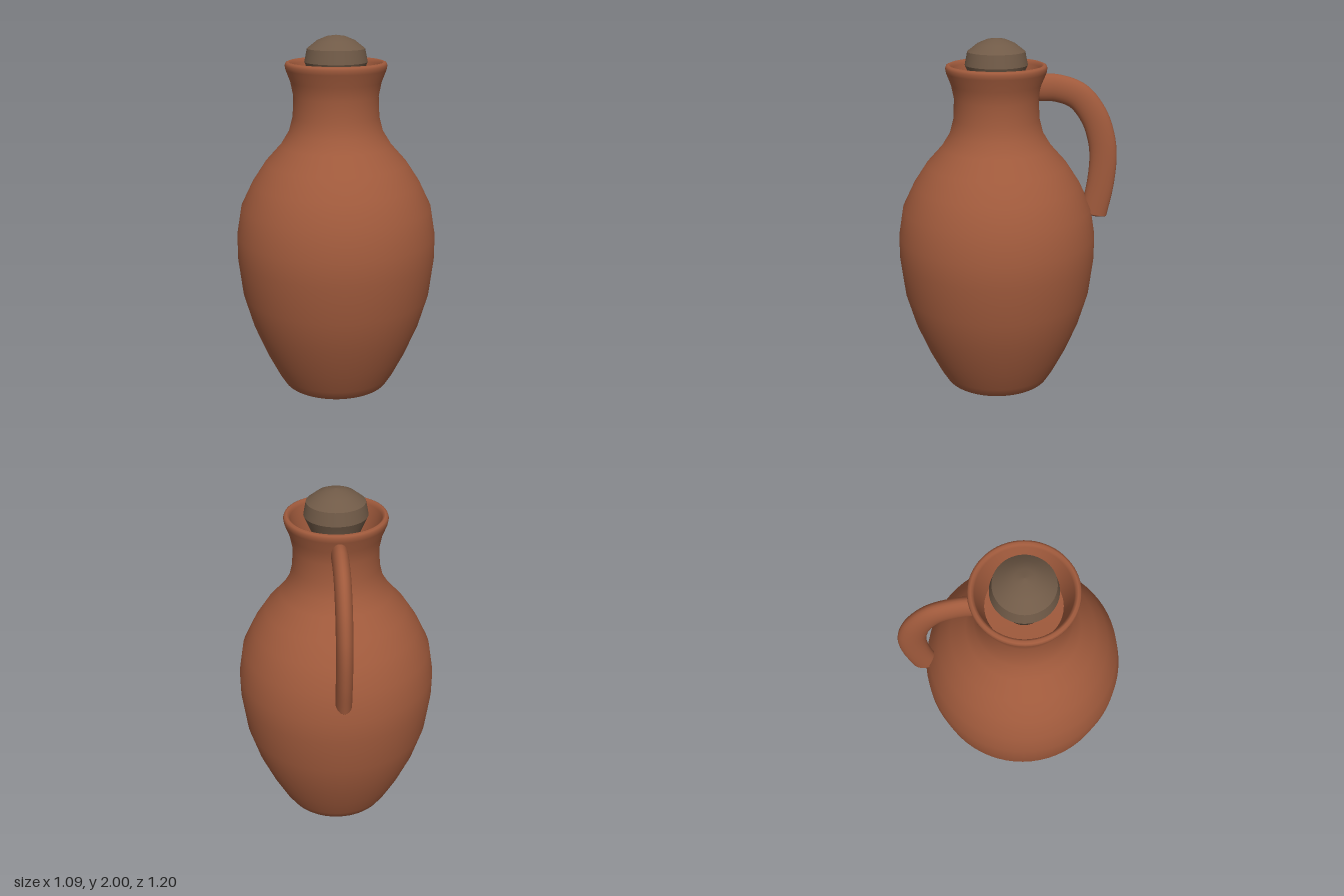
import * as THREE from 'three';

const AXIS_Z = 0.055; // the jug's axis sits forward of centre to balance the handle

export function createModel() {
  const group = new THREE.Group();
  const terracotta = new THREE.MeshStandardMaterial({ color: 0xa05a3c });
  terracotta.name = 'terracotta';
  const cork = new THREE.MeshStandardMaterial({ color: 0x705a47 });
  cork.name = 'cork';

  const add = (name, geometry, material, z = 0) => {
    const mesh = new THREE.Mesh(geometry, material);
    mesh.name = name;
    mesh.position.z = z;
    group.add(mesh);
    return mesh;
  };
  const lathe = (points) =>
    new THREE.LatheGeometry(points.map(([r, y]) => new THREE.Vector2(r, y)), 64);

  // Outer wall, rolled rim and inside of the mouth
  add('jugBody', lathe([
    [0, 0], [0.2, 0.006], [0.25, 0.017], [0.3, 0.043], [0.335, 0.1],
    [0.4, 0.23], [0.47, 0.4], [0.522, 0.58], [0.547, 0.79], [0.547, 0.92],
    [0.52, 1.08], [0.457, 1.21], [0.385, 1.32], [0.3, 1.415], [0.254, 1.49],
    [0.233, 1.57], [0.228, 1.68], [0.243, 1.755], [0.268, 1.82],
    [0.272, 1.843], [0.267, 1.857], [0.255, 1.862], [0.244, 1.857],
    [0.238, 1.84], [0.215, 1.76], [0.195, 1.68],
  ]), terracotta, AXIS_Z);

  // Ledge inside the neck, under the stopper
  add('neckLedge', lathe([[0.195, 1.68], [0.09, 1.675], [0, 1.675]]), terracotta, AXIS_Z);

  // Tapered stopper with a domed top
  add('stopperPlug', lathe([[0, 1.675], [0.1, 1.675], [0.12, 1.75], [0.168, 1.86]]), cork, AXIS_Z);
  add('stopperCollar', lathe([[0.168, 1.86], [0.154, 1.93]]), cork, AXIS_Z);
  add('stopperDome', lathe([[0.154, 1.93], [0.1, 1.972], [0.05, 1.993], [0, 2]]), cork, AXIS_Z);

  // Strap handle: a round tube flattened sideways, with closed ends
  const path = new THREE.CatmullRomCurve3([
    [1.74, -0.18], [1.738, -0.27], [1.695, -0.385], [1.585, -0.472],
    [1.46, -0.515], [1.357, -0.526], [1.21, -0.515], [1.045, -0.483],
  ].map(([y, z]) => new THREE.Vector3(0, y, z)));
  const radius = 0.074;
  const flatten = 0.043 / radius;
  const handle = new THREE.Group();
  handle.name = 'handle';
  group.add(handle);
  const tube = new THREE.TubeGeometry(path, 40, radius, 24).scale(flatten, 1, 1);
  const strap = new THREE.Mesh(tube, terracotta);
  strap.name = 'handleStrap';
  handle.add(strap);
  for (const [t, sign] of [[0, -1], [1, 1]]) {
    const out = path.getTangentAt(t).multiplyScalar(sign);
    const end = new THREE.SphereGeometry(radius, 24, 6, 0, Math.PI * 2, 0, Math.PI / 2);
    end.scale(1, 0.2, 1); // shallow rounded end
    end.applyQuaternion(new THREE.Quaternion().setFromUnitVectors(new THREE.Vector3(0, 1, 0), out));
    end.scale(flatten, 1, 1);
    const cap = new THREE.Mesh(end, terracotta);
    cap.name = t ? 'handleLowerEnd' : 'handleUpperEnd';
    cap.position.copy(path.getPointAt(t));
    handle.add(cap);
  }
  return group;
}
